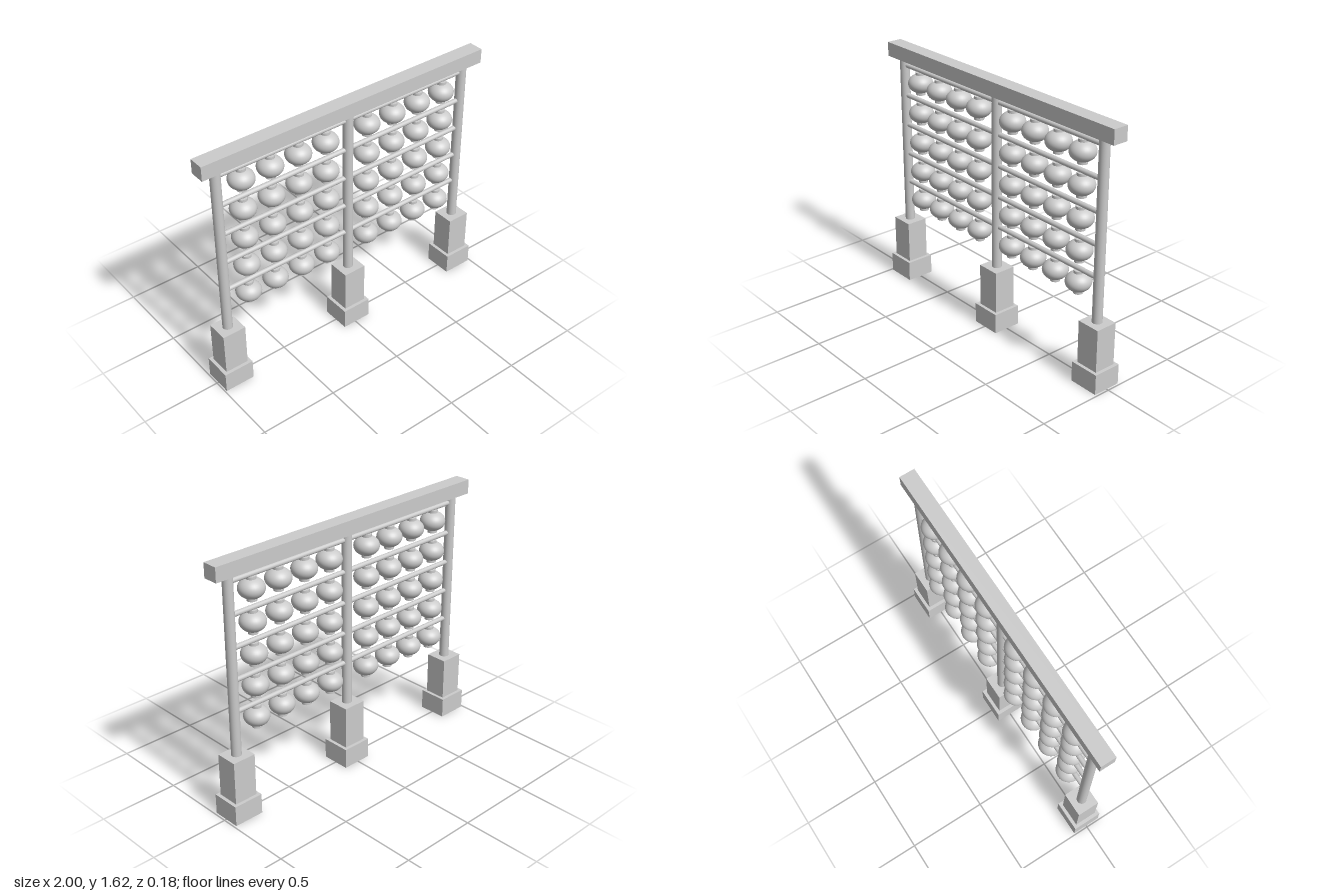
import * as THREE from 'three';

export function createModel() {
  const root = new THREE.Group();
  root.name = 'lanternRack';
  const material = new THREE.MeshStandardMaterial({ color: 0xcccccc });

  function add(parent, name, geometry, x, y, z = 0) {
    const mesh = new THREE.Mesh(geometry, material);
    mesh.name = name;
    mesh.position.set(x, y, z);
    parent.add(mesh);
    return mesh;
  }

  // Top beam across all posts
  add(root, 'topBeam', new THREE.BoxGeometry(2, 0.091, 0.098), 0, 1.5695);

  // Three round posts on stepped block footings
  const footing = new THREE.BoxGeometry(0.195, 0.13, 0.184);
  const pedestal = new THREE.BoxGeometry(0.152, 0.275, 0.142);
  const shaft = new THREE.CylinderGeometry(0.031, 0.031, 1.125, 32);
  for (const x of [-0.892, 0.01, 0.888]) {
    const post = new THREE.Group();
    post.name = 'post';
    post.position.x = x;
    add(post, 'footing', footing, 0, 0.065);
    add(post, 'pedestal', pedestal, 0, 0.2675);
    add(post, 'shaft', shaft, 0, 0.9625);
    root.add(post);
  }

  // Two bays of five rods, each rod carrying four lanterns
  const body = new THREE.SphereGeometry(0.079, 32, 20).scale(1, 0.78, 1);
  const collar = new THREE.CylinderGeometry(0.03, 0.03, 0.147, 24);
  const bays = [
    { start: -0.865, end: -0.013, firstLantern: -0.73 },
    { start: 0.034, end: 0.864, firstLantern: 0.15 },
  ];
  for (const { start, end, firstLantern } of bays) {
    const bay = new THREE.Group();
    bay.name = 'bay';
    root.add(bay);
    const rod = new THREE.CylinderGeometry(0.0155, 0.0155, end - start, 20).rotateZ(Math.PI / 2);
    for (let row = 0; row < 5; row++) {
      const y = 0.6 + row * 0.2;
      add(bay, 'rod', rod, (start + end) / 2, y + 0.083);
      for (let i = 0; i < 4; i++) {
        const lantern = new THREE.Group();
        lantern.name = 'lantern';
        lantern.position.set(firstLantern + i * 0.1925, y, 0);
        add(lantern, 'lanternBody', body, 0, 0);
        add(lantern, 'lanternCollar', collar, 0, 0);
        bay.add(lantern);
      }
    }
  }
  return root;
}
